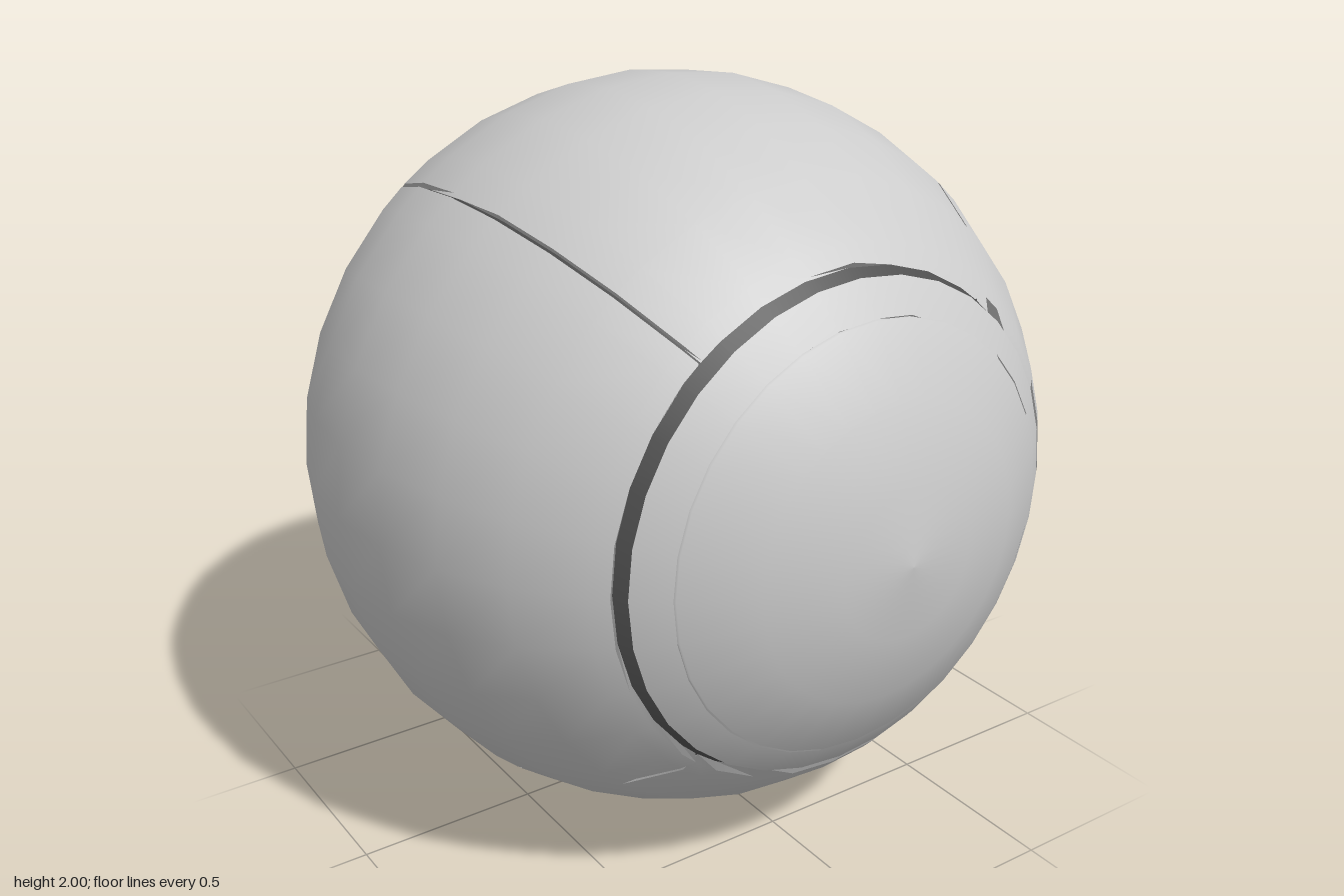
import * as THREE from 'three';

const STEP = 11.25; // grid of 32 sides around and 16 from pole to pole
const CORE_R = 0.975;
const rad = THREE.MathUtils.degToRad;

// Grid angles between two limits, with the limits themselves included
function span(from, to) {
  const list = [from];
  for (let k = Math.floor(from / STEP) + 1; k * STEP < to - 0.01; k++) {
    if (k * STEP > from + 0.01) list.push(k * STEP);
  }
  list.push(to);
  return list;
}

// Piece of a sphere around the z axis, with rims folded down to the core
function shellGeometry(a0, a1, p0, p1) {
  const around = span(a0, a1).map((a) => [a, 1]);
  if (a1 - a0 < 360) {
    around.unshift([a0, CORE_R]);
    around.push([a1, CORE_R]);
  }
  const along = span(p0, p1).map((p) => [p, 1]);
  if (p0 > 0) along.unshift([p0, CORE_R]);
  if (p1 < 180) along.push([p1, CORE_R]);

  const positions = [], normals = [], index = [];
  const n = along.length;
  around.forEach(([a, ra], i) => along.forEach(([p, rp], j) => {
    const d = new THREE.Vector3(
      Math.sin(rad(p)) * Math.cos(rad(a)), Math.sin(rad(p)) * Math.sin(rad(a)), Math.cos(rad(p)));
    normals.push(d.x, d.y, d.z);
    d.multiplyScalar(Math.min(ra, rp));
    positions.push(d.x, d.y, d.z);
    if (i < around.length - 1 && j < n - 1) {
      const k = i * n + j;
      index.push(k, k + 1, k + n + 1, k, k + n + 1, k + n);
    }
  }));
  const geometry = new THREE.BufferGeometry();
  geometry.setAttribute('position', new THREE.Float32BufferAttribute(positions, 3));
  geometry.setAttribute('normal', new THREE.Float32BufferAttribute(normals, 3));
  geometry.setIndex(index);
  return geometry;
}

export function createModel() {
  const model = new THREE.Group();
  model.name = 'panelledBall';
  const shell = new THREE.MeshStandardMaterial({ name: 'light grey shell', color: 0xcccccc });
  const dark = new THREE.MeshStandardMaterial({ name: 'dark grey core', color: 0x4d4d4d });

  function add(name, geometry, material) {
    const mesh = new THREE.Mesh(geometry, material);
    mesh.name = name;
    mesh.position.y = 1;
    model.add(mesh);
  }

  // Dark core showing through the seams
  add('core', new THREE.SphereGeometry(CORE_R, 32, 16).rotateX(Math.PI / 2), dark);

  // Four panels separated by radial seams
  const seam = 50.2, gap = 0.4;
  const panels = [
    ['leftPanel', -seam, seam],
    ['topPanel', seam, 180 - seam],
    ['rightPanel', 180 - seam, 180 + seam],
    ['bottomPanel', 180 + seam, 360 - seam],
  ];
  for (const [name, a0, a1] of panels) {
    add(name, shellGeometry(a0 + gap, a1 - gap, 42.2, 145.3), shell);
  }

  // Front ring inside the wide groove, and the rear cap
  add('frontRing', shellGeometry(0, 360, 34.1, 39.9), shell);
  add('rearCap', shellGeometry(0, 360, 146.25, 180), shell);

  // Front lens with a softly shaded rim
  const profile = [new THREE.Vector2(Math.sin(rad(33.75)), 0.8)];
  for (let k = 3; k >= 0; k--) {
    profile.push(new THREE.Vector2(Math.sin(rad(k * STEP)), Math.cos(rad(k * STEP))));
  }
  add('frontLens', new THREE.LatheGeometry(profile, 32).rotateX(Math.PI / 2), shell);

  return model;
}
